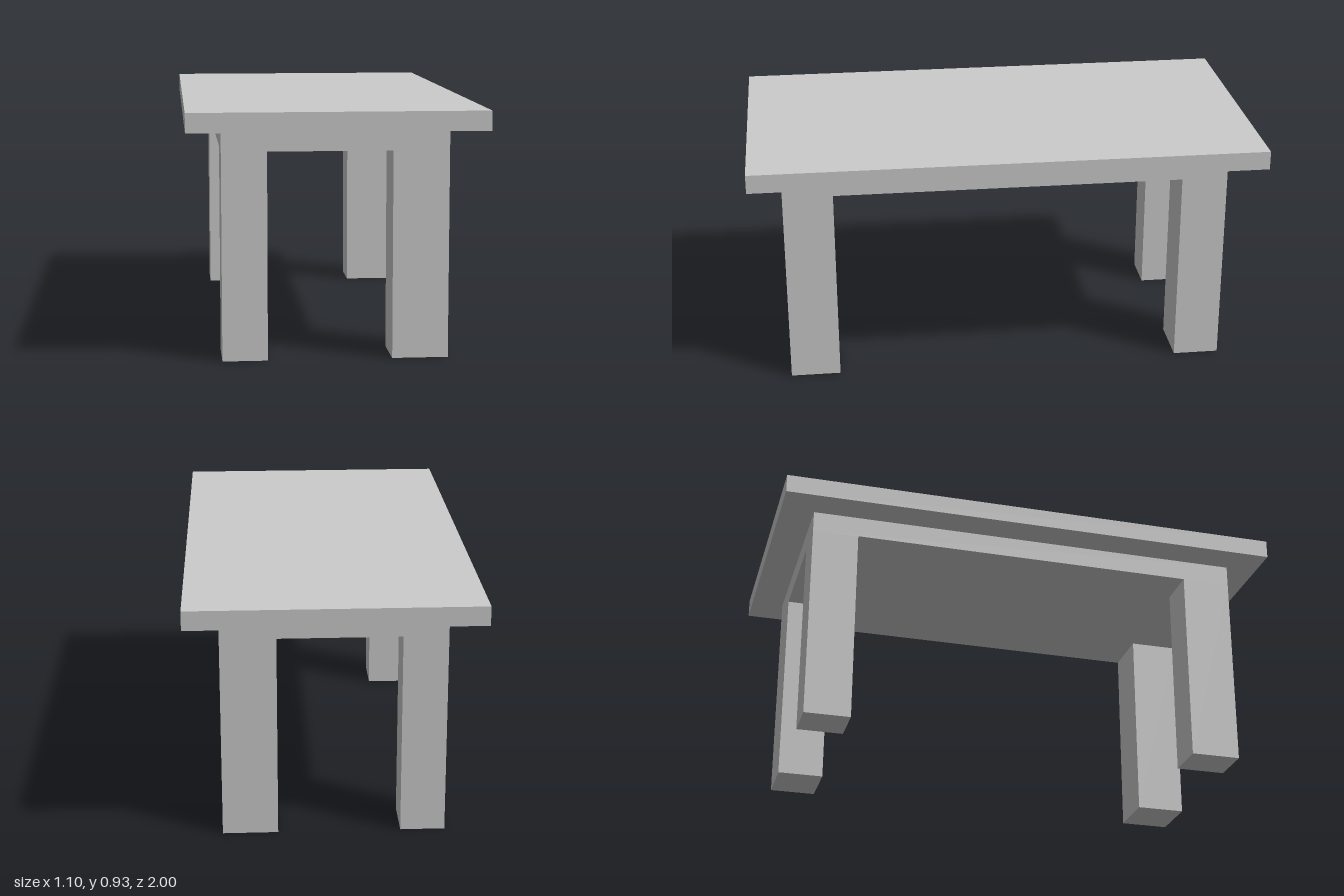
import * as THREE from 'three';

export function createModel() {
  const model = new THREE.Group();
  const material = new THREE.MeshStandardMaterial({ color: 0xcccccc, flatShading: true });

  // Box given by its [min, max] range on each axis
  function box(name, [x0, x1], [y0, y1], [z0, z1]) {
    const mesh = new THREE.Mesh(new THREE.BoxGeometry(x1 - x0, y1 - y0, z1 - z0), material);
    mesh.position.set((x0 + x1) / 2, (y0 + y1) / 2, (z0 + z1) / 2);
    mesh.name = name;
    model.add(mesh);
  }

  const topBottom = 0.859, apronBottom = 0.777;

  box('tableTop', [-0.55, 0.55], [topBottom, 0.932], [-1, 1]);

  // Solid apron block under the top
  box('apron', [-0.42, 0.42], [apronBottom, topBottom], [-0.87, 0.872]);

  // Four legs flush with the apron corners, slightly different in section
  const sides = { Left: [0.211, 0.42], Right: [-0.42, -0.252] };
  const ends = { front: [0.677, 0.872], back: [-0.87, -0.69] };
  for (const [end, z] of Object.entries(ends)) {
    for (const [side, x] of Object.entries(sides)) {
      box(`${end}${side}Leg`, x, [0, apronBottom], z);
    }
  }

  return model;
}
